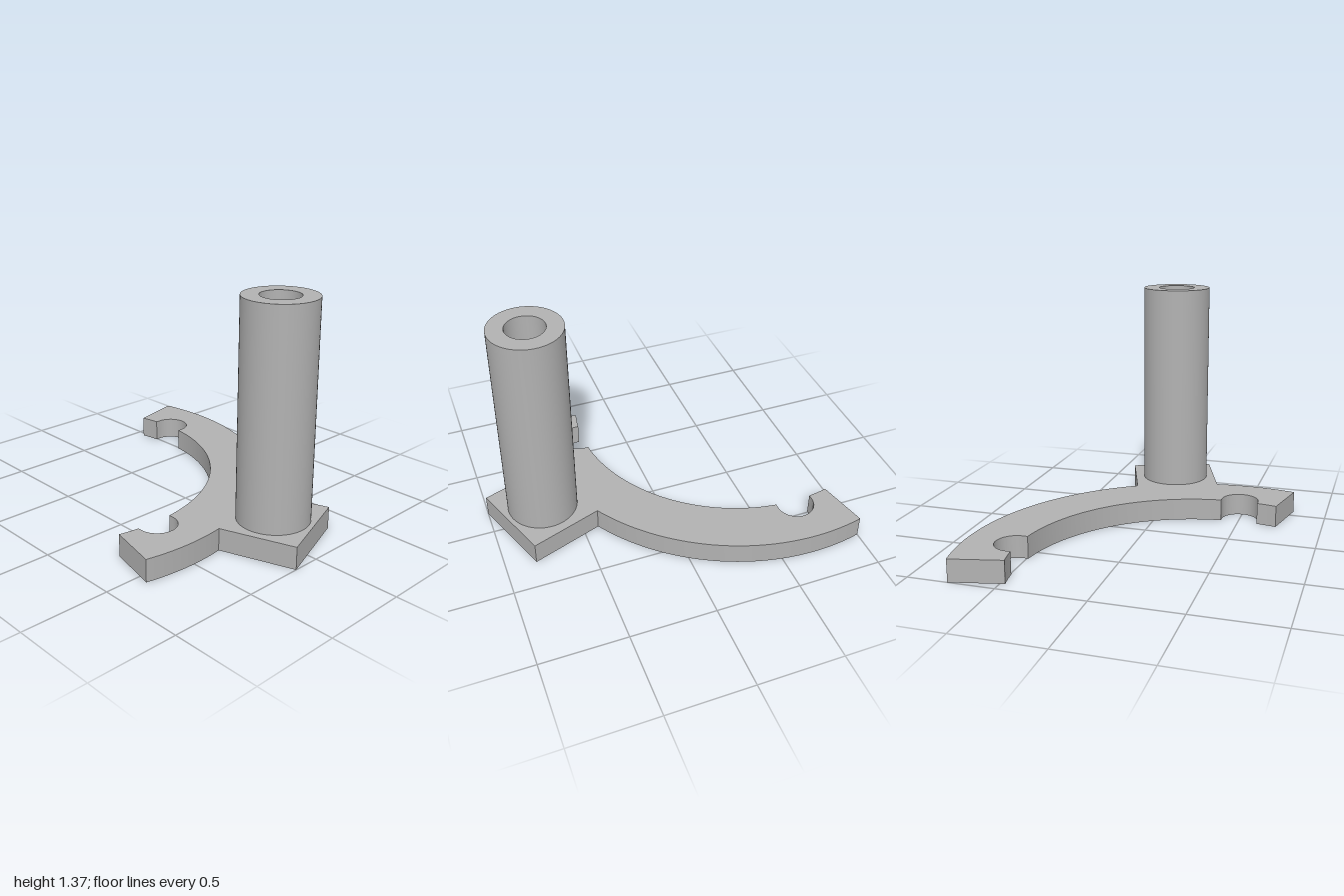
import * as THREE from 'three';
import { toCreasedNormals } from 'three/addons/utils/BufferGeometryUtils.js';

const THICK = 0.13;

// Outline of the curved arm with its two U notches and the mounting tab (shape y = -z)
function plateShape() {
  const cx = -0.705, cy = -0.505, R = 1.305, r = 1.003;
  const notchR = 0.11, notchAt = 1.025;
  const rad = THREE.MathUtils.degToRad;
  const over = rad(13.07), half = Math.asin(notchR / r), quarter = Math.PI / 2;
  const s = new THREE.Shape();
  // outer edge, interrupted by the tab
  s.absarc(cx, cy, R, -over, rad(8.8), false);
  s.lineTo(1.0, -0.16);
  s.lineTo(0.825, 0.32);
  s.absarc(cx, cy, R, rad(31.3), quarter + over, false);
  // inner edge, interrupted by the notches
  s.absarc(cx, cy, r, quarter + over, quarter + half, true);
  s.absarc(cx, cy + notchAt, notchR, Math.PI, 0, true);
  s.absarc(cx, cy, r, quarter - half, half, true);
  s.absarc(cx + notchAt, cy, notchR, quarter, -quarter, true);
  s.absarc(cx, cy, r, -half, -over, true);
  s.closePath();
  return s;
}

export function createModel() {
  const group = new THREE.Group();
  group.name = 'bracket';
  const grey = new THREE.MeshStandardMaterial({ color: 0xb2b2b2 });
  grey.name = 'grey';

  // Flat curved plate
  const plateGeo = new THREE.ExtrudeGeometry(plateShape(), {
    depth: THICK, bevelEnabled: false, curveSegments: 32,
  });
  plateGeo.rotateX(-Math.PI / 2);
  const plate = new THREE.Mesh(toCreasedNormals(plateGeo, 0.5), grey);
  plate.name = 'curvedPlate';
  group.add(plate);

  // Hollow post standing on the tab
  const profile = [[0.205, THICK], [0.205, 1.365], [0.11, 1.365], [0.11, THICK]]
    .map(([x, y]) => new THREE.Vector2(x, y));
  const post = new THREE.Mesh(toCreasedNormals(new THREE.LatheGeometry(profile, 64), 0.5), grey);
  post.name = 'hollowPost';
  post.position.set(0.695, 0, 0);
  group.add(post);

  return group;
}
